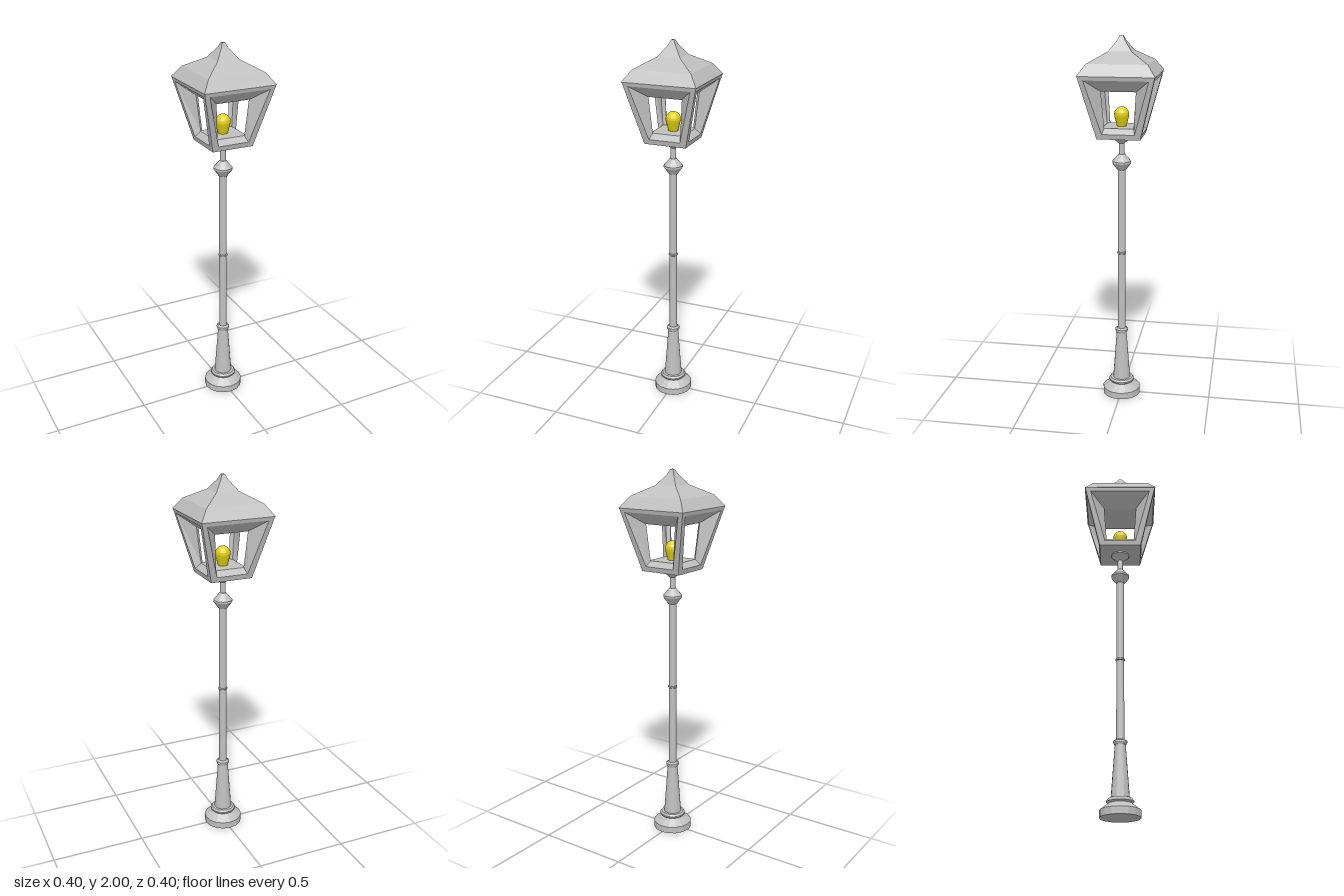
import * as THREE from 'three';

const metal = new THREE.MeshStandardMaterial({ color: 0xc0c0c0, flatShading: true });
metal.name = 'grey metal';
const glow = new THREE.MeshStandardMaterial({ color: 0xe0d010, flatShading: true });
glow.name = 'yellow bulb';

// Turned part from [radius, height] pairs, bottom to top
function turned(name, profile, sides, material, start = 0) {
  const points = profile.map(([r, y]) => new THREE.Vector2(r, y));
  const mesh = new THREE.Mesh(new THREE.LatheGeometry(points, sides, start), material);
  mesh.name = name;
  return mesh;
}

// Four-sided tapered housing; every side has an opening with splayed reveals
function lanternHousing() {
  const pos = [];
  const Y = new THREE.Vector3(0, 1, 0);
  const outerHalf = (y) => 0.113 + (y - 1.483) * 0.252;
  const loop = (yb, yt, wb, wt, zb, zt) => [
    new THREE.Vector3(-wb, yb, zb), new THREE.Vector3(wb, yb, zb),
    new THREE.Vector3(wt, yt, zt), new THREE.Vector3(-wt, yt, zt),
  ];
  const edge = loop(1.483, 1.812, outerHalf(1.483), outerHalf(1.812), outerHalf(1.483), outerHalf(1.812));
  const opening = loop(1.51, 1.79, 0.085, 0.165, outerHalf(1.51), outerHalf(1.79));
  const inner = loop(1.537, 1.727, 0.076, 0.09, 0.09, 0.108);
  const base = new THREE.Vector3(0, 1.483, 0);
  const floor = new THREE.Vector3(0, 1.537, 0);
  const ceiling = new THREE.Vector3(0, 1.727, 0);

  for (let side = 0; side < 4; side++) {
    const turn = (v, extra = 0) => v.clone().applyAxisAngle(Y, (side + extra) * Math.PI / 2);
    const tri = (...vs) => vs.forEach((v) => pos.push(v.x, v.y, v.z));
    const quad = (a, b, c, d) => { tri(a, b, c); tri(a, c, d); };
    const rings = [edge, opening, inner].map((ring) => ring.map((v) => turn(v)));
    // outer frame, then the reveals
    for (let r = 0; r < 2; r++) {
      for (let i = 0; i < 4; i++) {
        const j = (i + 1) % 4;
        quad(rings[r][i], rings[r][j], rings[r + 1][j], rings[r + 1][i]);
      }
    }
    // inside of the corner post, floor, ceiling and underside
    const [bl, br, tr, tl] = rings[2];
    const nextBottom = turn(inner[0], 1), nextTop = turn(inner[3], 1);
    quad(nextBottom, br, tr, nextTop);
    quad(floor, bl, br, nextBottom);
    quad(ceiling, nextTop, tr, tl);
    tri(base, rings[0][1], rings[0][0]);
  }
  const geometry = new THREE.BufferGeometry();
  geometry.setAttribute('position', new THREE.Float32BufferAttribute(pos, 3));
  geometry.computeVertexNormals();
  const mesh = new THREE.Mesh(geometry, metal);
  mesh.name = 'lanternHousing';
  return mesh;
}

export function createModel() {
  const model = new THREE.Group();
  model.name = 'streetLamp';

  // Stepped foot and tapered pedestal
  model.add(turned('foot', [
    [0, 0], [0.105, 0], [0.105, 0.037], [0.065, 0.067], [0.062, 0.07],
    [0.07, 0.078], [0.07, 0.085], [0.062, 0.095], [0, 0.095],
  ], 16, metal));
  model.add(turned('pedestal', [[0.048, 0.095], [0.028, 0.37]], 16, metal));
  model.add(turned('pedestalCollar', [
    [0, 0.37], [0.03, 0.37], [0.036, 0.382], [0.036, 0.39], [0.028, 0.396], [0, 0.396],
  ], 16, metal));

  // Pole with a ring, a knop and the flared neck under the lantern
  model.add(turned('pole', [[0.021, 0.39], [0.02, 1.31]], 16, metal));
  model.add(turned('poleRing', [
    [0.02, 0.833], [0.025, 0.837], [0.025, 0.843], [0.02, 0.847],
  ], 16, metal));
  model.add(turned('knop', [
    [0.02, 1.303], [0.025, 1.305], [0.05, 1.34], [0.05, 1.35], [0.017, 1.388], [0, 1.39],
  ], 16, metal));
  model.add(turned('neck', [
    [0.015, 1.385], [0.015, 1.445], [0.05, 1.475], [0.05, 1.484],
  ], 16, metal));

  model.add(lanternHousing());

  // Square roof; the lathe radius is the half width times root two
  const roofProfile = [
    [0, 1.81], [0.198, 1.81], [0.155, 1.868], [0.06, 1.922], [0.02, 1.975], [0.008, 2], [0, 2],
  ].map(([half, y]) => [half * Math.SQRT2, y]);
  model.add(turned('roof', roofProfile, 4, metal, Math.PI / 4));

  // Bulb: tapered stem below a round top
  const bulb = [[0, 1.537], [0.025, 1.537]];
  for (let i = 0; i <= 6; i++) {
    const a = -0.35 + (i / 6) * (Math.PI / 2 + 0.35);
    bulb.push([Math.max(0, 0.04 * Math.cos(a)), 1.598 + 0.04 * Math.sin(a)]);
  }
  model.add(turned('bulb', bulb, 16, glow));

  return model;
}
